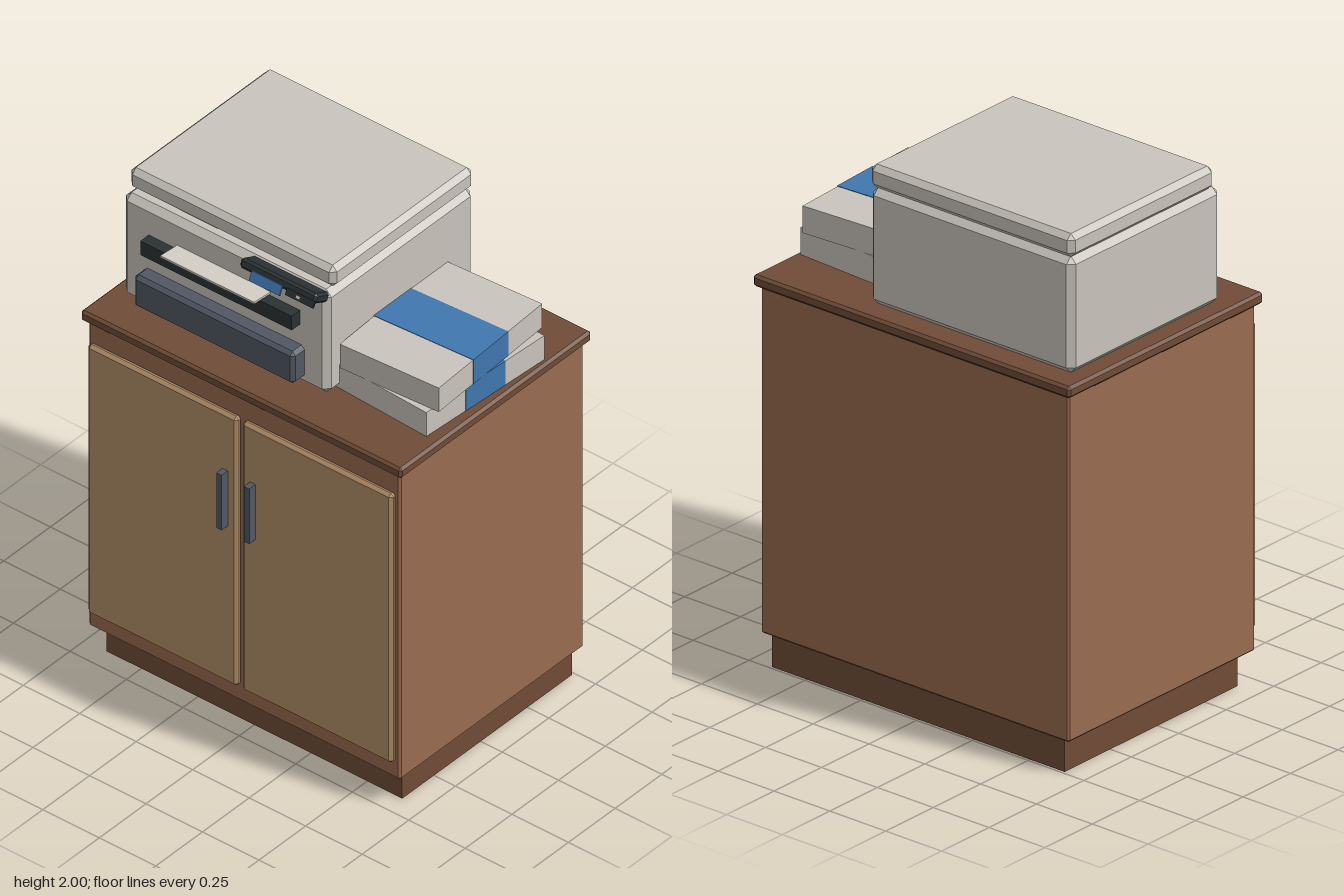
import * as THREE from 'three';
import { ConvexGeometry } from 'three/addons/geometries/ConvexGeometry.js';

const mat = (name, color) => {
  const m = new THREE.MeshStandardMaterial({ color });
  m.name = name;
  return m;
};

// Box with every edge cut by a single flat chamfer
function chamferBox(w, h, d, c) {
  const pts = [];
  for (const x of [-1, 1]) for (const y of [-1, 1]) for (const z of [-1, 1]) {
    const X = x * w / 2, Y = y * h / 2, Z = z * d / 2;
    pts.push(
      new THREE.Vector3(X, Y - y * c, Z - z * c),
      new THREE.Vector3(X - x * c, Y, Z - z * c),
      new THREE.Vector3(X - x * c, Y - y * c, Z));
  }
  return new ConvexGeometry(pts);
}

export function createModel() {
  const root = new THREE.Group();
  root.name = 'printerCabinet';

  const wood = mat('cabinetWood', 0x986b4f);
  const darkWood = mat('darkWood', 0x704c38);
  const doorWood = mat('doorWood', 0xb28e68);
  const shell = mat('printerShell', 0xc9c4bc);
  const paper = mat('paper', 0xd2cec6);
  const slate = mat('slate', 0x515763);
  const black = mat('blackPlastic', 0x2b3234);
  const blue = mat('blue', 0x4077b0);

  // Box given by its min and max on each axis; c is the chamfer
  function box(parent, name, material, [x0, x1], [y0, y1], [z0, z1], c = 0) {
    const w = x1 - x0, h = y1 - y0, d = z1 - z0;
    const geo = c ? chamferBox(w, h, d, c) : new THREE.BoxGeometry(w, h, d);
    const mesh = new THREE.Mesh(geo, material);
    mesh.name = name;
    mesh.position.set((x0 + x1) / 2, (y0 + y1) / 2, (z0 + z1) / 2);
    parent.add(mesh);
    return mesh;
  }
  const group = (name, parent = root) => {
    const g = new THREE.Group();
    g.name = name;
    parent.add(g);
    return g;
  };

  // Cabinet
  const cabinet = group('cabinet');
  box(cabinet, 'plinth', darkWood, [-0.655, 0.655], [0, 0.13], [-0.49, 0.42]);
  box(cabinet, 'carcass', wood, [-0.69, 0.69], [0.125, 1.435], [-0.51, 0.475], 0.008);
  box(cabinet, 'worktop', darkWood, [-0.71, 0.71], [1.43, 1.475], [-0.53, 0.495], 0.01);
  for (const s of [-1, 1]) {
    const side = s < 0 ? 'right' : 'left';
    const span = (a, b) => (s < 0 ? [-b, -a] : [a, b]);
    box(cabinet, side + 'Door', doorWood, span(0.01, 0.675), [0.2, 1.35], [0.47, 0.502], 0.012);
    box(cabinet, side + 'Handle', slate, span(0.049, 0.073), [0.875, 1.11], [0.5, 0.535]);
  }

  // Printer body and lid
  const printer = group('printer');
  box(printer, 'body', shell, [-0.655, 0.255], [1.475, 1.912], [-0.453, 0.338], 0.024);
  box(printer, 'scannerLid', shell, [-0.655, 0.255], [1.912, 2], [-0.453, 0.305], 0.02);
  box(printer, 'paperDrawer', slate, [-0.555, 0.155], [1.51, 1.645], [0.32, 0.4], 0.014);
  box(printer, 'outputSlot', black, [-0.535, 0.135], [1.73, 1.79], [0.32, 0.383]);
  const sheet = box(printer, 'outputSheet', paper, [-0.41, 0.005], [1.801, 1.809], [0.32, 0.428]);
  sheet.rotation.x = -0.08;

  // Control panel, tilted upward towards the front
  const panel = group('controlPanel', printer);
  panel.position.set(0.078, 1.903, 0.357);
  panel.rotation.x = -0.43;
  box(panel, 'panelHousing', black, [-0.168, 0.168], [-0.019, 0.019], [-0.045, 0.036], 0.009);
  box(panel, 'screen', blue, [-0.108, 0.027], [-0.044, -0.006], [0.035, 0.042]);
  box(panel, 'buttonPlate', black, [0.045, 0.168], [-0.032, -0.006], [0.03, 0.038]);
  box(panel, 'button', paper, [0.092, 0.108], [-0.024, -0.014], [0.036, 0.041]);

  // Two wrapped reams of paper, turned opposite ways
  const reams = group('paperReams');
  [[0.463, 1.475, -0.015, -0.055], [0.461, 1.577, -0.022, 0.055]].forEach(([x, y, z, turn], i) => {
    const ream = group(i ? 'upperReam' : 'lowerReam', reams);
    ream.position.set(x, y, z);
    ream.rotation.y = turn;
    box(ream, 'paperBlock', shell, [-0.21, 0.21], [0, 0.102], [-0.297, 0.297]);
    box(ream, 'wrapBand', blue, [-0.212, 0.212], [0.001, 0.104], [-0.1, 0.1]);
  });

  return root;
}
